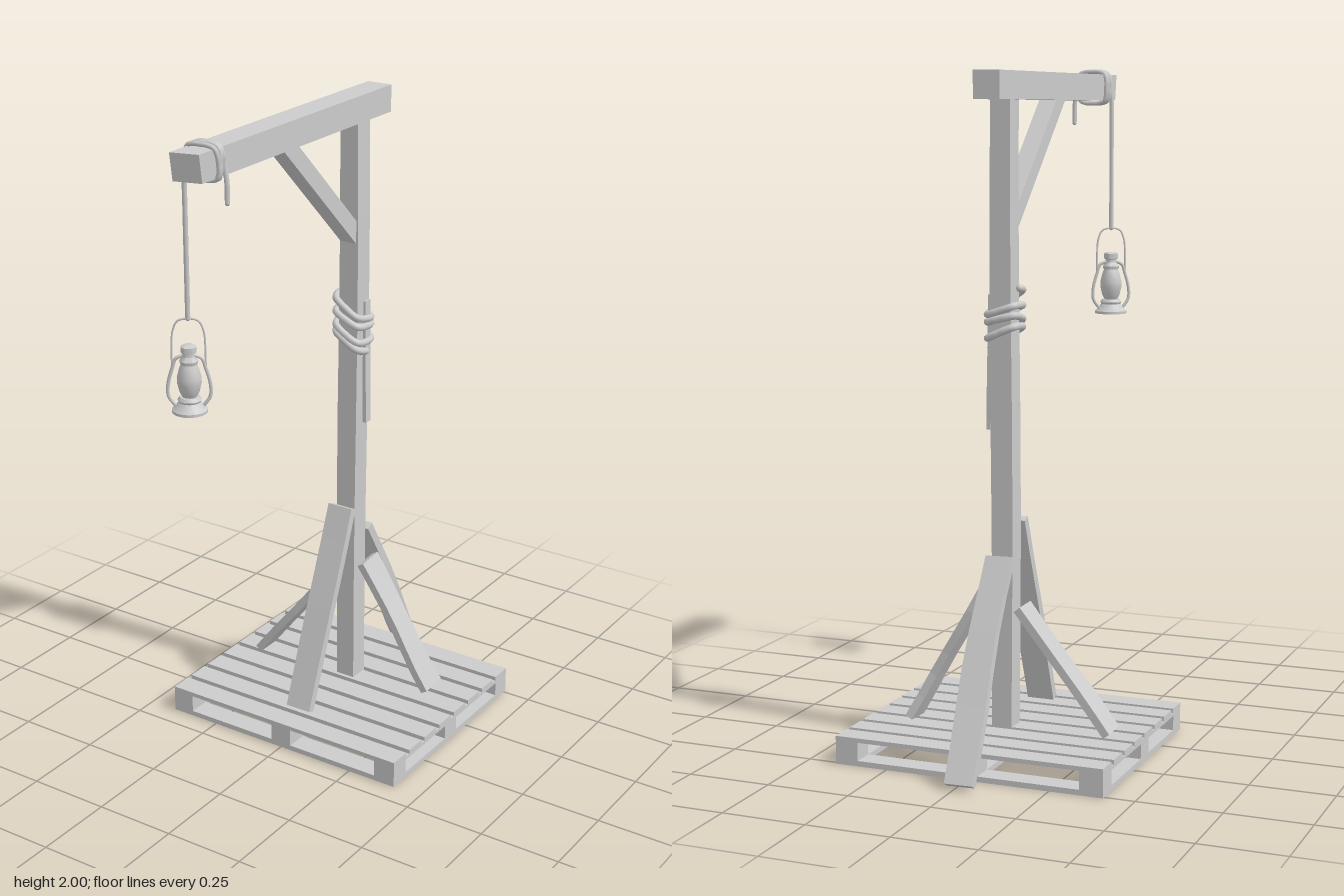
import * as THREE from 'three';
import { toCreasedNormals } from 'three/addons/utils/BufferGeometryUtils.js';

const V = (x, y, z) => new THREE.Vector3(x, y, z);

export function createModel() {
  const root = new THREE.Group();
  const wood = new THREE.MeshStandardMaterial({ color: 0xcccccc, flatShading: true });
  const smooth = new THREE.MeshStandardMaterial({ color: 0xcccccc });

  const add = (parent, name, geometry, material = wood) => {
    const mesh = new THREE.Mesh(geometry, material);
    mesh.name = name;
    parent.add(mesh);
    return mesh;
  };
  const box = (parent, name, x0, x1, y0, y1, z0, z1) =>
    add(parent, name, new THREE.BoxGeometry(x1 - x0, y1 - y0, z1 - z0)
      .translate((x0 + x1) / 2, (y0 + y1) / 2, (z0 + z1) / 2));

  // Rough-hewn plank from a to b: w wide along "across", t thick, edges wavering by "wave"
  const plank = (name, a, b, across, w, t, wave, phase = 0) => {
    const dir = b.clone().sub(a);
    const len = dir.length();
    dir.normalize();
    const side = across.clone().addScaledVector(dir, -across.dot(dir)).normalize();
    const g = new THREE.BoxGeometry(w, len, t, 1, 6, 1);
    const p = g.attributes.position;
    for (let i = 0; i < p.count; i++) {
      const k = p.getY(i) / len * 6 + phase;
      p.setX(i, p.getX(i) + wave * Math.sin(k + 0.5 * Math.sign(p.getX(i))));
      p.setZ(i, p.getZ(i) + wave * 0.3 * Math.cos(k * 1.3));
    }
    g.applyMatrix4(new THREE.Matrix4().makeBasis(side, dir, side.clone().cross(dir)));
    const mid = a.clone().add(b).multiplyScalar(0.5);
    g.translate(mid.x, mid.y, mid.z);
    return add(root, name, g);
  };

  const tube = (parent, name, pts, r, n, sides = 8) => {
    const g = add(parent, name, new THREE.TubeGeometry(new THREE.CatmullRomCurve3(pts), n, r, sides), smooth);
    // Closed tips
    [pts[0], pts[pts.length - 1]].forEach((p) =>
      add(parent, name + 'Tip', new THREE.SphereGeometry(r, sides, 6).translate(p.x, p.y, p.z), smooth));
    return g;
  };
  // Point on a rounded square, so a rope hugs square timber
  const hug = (ang, half) => {
    const c = Math.cos(ang), s = Math.sin(ang);
    const r = half / Math.pow(c ** 4 + s ** 4, 0.25);
    return [r * c, r * s];
  };

  // Pallet
  const pallet = new THREE.Group();
  pallet.name = 'pallet';
  root.add(pallet);
  for (let i = 0; i < 8; i++) {
    const z = -0.51 + i * 0.0886;
    box(pallet, 'deckBoard', -0.41, 0.41, 0.07, 0.083, z, z + 0.07);
  }
  const xs = [[-0.41, -0.34], [-0.035, 0.035], [0.34, 0.41]];
  const zs = [[-0.51, -0.442], [-0.19, -0.122], [0.112, 0.18]];
  xs.forEach(([x0, x1]) => {
    box(pallet, 'stringer', x0, x1, 0.06, 0.07, -0.51, 0.18);
    box(pallet, 'bottomStringer', x0, x1, 0, 0.016, -0.51, 0.18);
    zs.forEach(([z0, z1]) => box(pallet, 'block', x0, x1, 0.016, 0.06, z0, z1));
  });
  zs.forEach(([z0, z1]) => [[0, 1], [1, 2]].forEach(([l, r]) =>
    box(pallet, 'bottomBoard', xs[l][1], xs[r][0], 0, 0.016, z0, z1)));

  // Post and cross beam
  const X = V(1, 0, 0), Z = V(0, 0, 1);
  plank('post', V(0, 0.08, -0.217), V(0, 1.91, -0.217), X, 0.064, 0.064, 0.003);
  const beam = box(root, 'beam', -0.04, 0.04, 1.9, 1.98, -0.35, 0.6);
  const bp = beam.geometry.attributes.position;
  for (let i = 0; i < bp.count; i++) {
    // Crooked saw cut at the front end
    if (bp.getZ(i) > 0) bp.setZ(i, 0.592 - bp.getX(i) * 0.27 + (bp.getY(i) - 1.94) * 0.15);
  }
  beam.geometry.computeVertexNormals();

  // Diagonal strut under the beam
  const strut = new THREE.Shape([[0.19, 1.902], [-0.187, 1.535], [-0.187, 1.605], [0.118, 1.902]]
    .map(([z, y]) => new THREE.Vector2(z, y)));
  add(root, 'strut', new THREE.ExtrudeGeometry(strut, { depth: 0.055, bevelEnabled: false })
    .rotateY(-Math.PI / 2).translate(0.0275, 0, 0));

  // Four leaning braces round the post
  plank('frontBrace', V(0.002, 0.088, 0.077), V(0, 0.69, -0.16), X, 0.085, 0.026, 0.001);
  plank('backBrace', V(-0.013, 0.012, -0.594), V(0, 0.592, -0.265), X, 0.086, 0.026, 0.005, 1);
  plank('rightBrace', V(-0.324, 0.09, -0.203), V(-0.05, 0.44, -0.212), Z, 0.086, 0.024, 0.004, 2);
  plank('leftBrace', V(0.276, 0.095, -0.262), V(0.05, 0.492, -0.232), Z, 0.086, 0.024, 0.006, 3);

  // Thin batten tied to the post
  plank('batten', V(0.041, 0.96, -0.232), V(0.035, 1.35, -0.232), Z, 0.028, 0.012, 0.001);

  // Rope wound round the post
  const coil = [];
  for (let i = 0; i <= 56; i++) {
    const [x, z] = hug(i / 16 * Math.PI * 2, 0.045);
    coil.push(V(x, 1.215 + 0.125 * i / 56 - x * 0.45 + 0.008 * Math.sin(i * 0.25), -0.217 + z));
  }
  tube(root, 'postRope', coil, 0.011, 180);

  // Hanging rope: up from the lantern, round the beam, loose tail
  const hang = [V(-0.053, 1.5, 0.53), V(-0.053, 1.65, 0.53), V(-0.053, 1.8, 0.53), V(-0.052, 1.9, 0.53)];
  for (let i = 0; i <= 56; i++) {
    const [x, y] = hug(Math.PI - i / 16 * Math.PI * 2, 0.049);
    hang.push(V(x, 1.94 + y, 0.525 - 0.035 * i / 56 + 0.006 * Math.sin(i * 0.5)));
  }
  hang.push(V(0.056, 1.89, 0.49), V(0.057, 1.83, 0.49));
  tube(root, 'hangingRope', hang, 0.007, 260);

  // Lantern
  const lantern = new THREE.Group();
  lantern.name = 'lantern';
  lantern.position.set(-0.053, 1.23, 0.53);
  lantern.rotation.y = THREE.MathUtils.degToRad(35);
  root.add(lantern);
  const lathe = (name, pts) => add(lantern, name, toCreasedNormals(new THREE.LatheGeometry(
    pts.map(([r, y]) => new THREE.Vector2(r, y)), 16), 0.7), smooth);
  lathe('lanternBase', [[0, 0], [0.05, 0], [0.05, 0.008], [0.042, 0.014], [0.031, 0.03],
    [0.034, 0.036], [0.028, 0.045], [0, 0.045]]);
  lathe('lanternGlobe', [[0.02, 0.044], [0.028, 0.06], [0.034, 0.085], [0.034, 0.1], [0.028, 0.125], [0.02, 0.145]]);
  lathe('lanternCap', [[0, 0.14], [0.024, 0.14], [0.026, 0.15], [0.017, 0.162], [0.017, 0.172],
    [0.022, 0.174], [0.022, 0.19], [0.015, 0.194], [0, 0.194]]);
  [-1, 1].forEach((s) => tube(lantern, 'lanternFrame', [V(s * 0.036, 0.015, 0), V(s * 0.057, 0.045, 0),
    V(s * 0.058, 0.08, 0), V(s * 0.045, 0.13, 0), V(s * 0.036, 0.155, 0), V(s * 0.014, 0.165, 0)], 0.005, 24));
  tube(lantern, 'lanternHandle', [V(-0.046, 0.13, 0), V(-0.046, 0.18, 0), V(-0.042, 0.235, 0), V(-0.028, 0.264, 0),
    V(0, 0.27, 0), V(0.028, 0.264, 0), V(0.042, 0.235, 0), V(0.046, 0.18, 0), V(0.046, 0.13, 0)], 0.003, 40, 6);

  return root;
}
